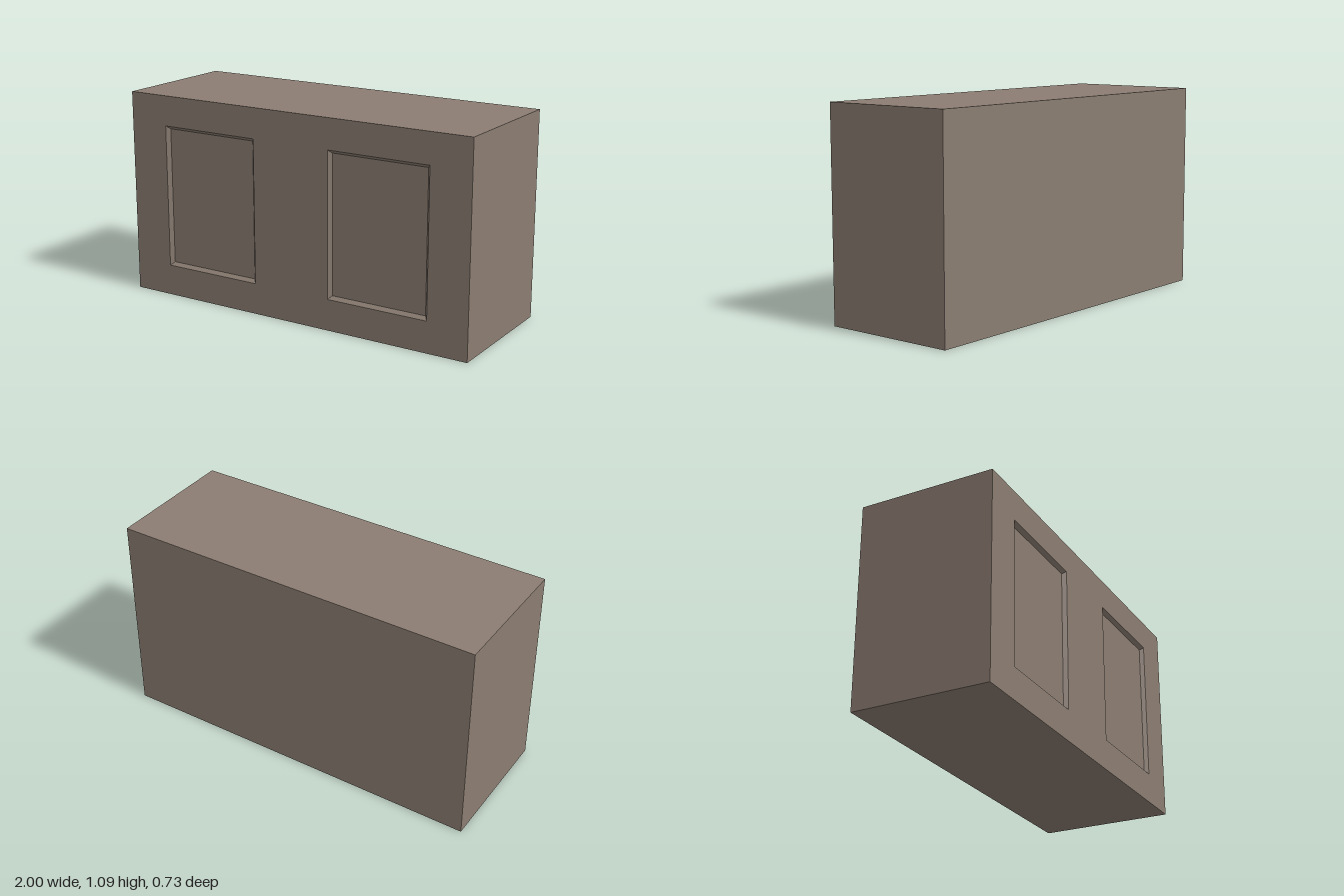
import * as THREE from 'three';

const W = 2, H = 1.09, D = 0.725;
const PANEL = { w: 0.56, y0: 0.165, y1: 0.93, inset: 0.017, depth: 0.02, x: 0.5 };

// Corners of a panel rectangle, counter-clockwise seen from the front
function corners(cx, inset, z) {
  const l = cx - PANEL.w / 2 + inset, r = cx + PANEL.w / 2 - inset;
  const b = PANEL.y0 + inset, t = PANEL.y1 - inset;
  return [[l, b, z], [r, b, z], [r, t, z], [l, t, z]];
}

// Shallow pocket: four sloping walls and a flat floor
function recessGeometry(cx) {
  const rim = corners(cx, 0, D / 2);
  const floor = corners(cx, PANEL.inset, D / 2 - PANEL.depth);
  const points = [];
  const quad = (a, b, c, d) => points.push(...a, ...b, ...c, ...a, ...c, ...d);
  for (let i = 0; i < 4; i++) {
    const j = (i + 1) % 4;
    quad(rim[i], rim[j], floor[j], floor[i]);
  }
  quad(...floor);
  const geometry = new THREE.BufferGeometry();
  geometry.setAttribute('position', new THREE.Float32BufferAttribute(points, 3));
  geometry.computeVertexNormals();
  return geometry;
}

export function createModel() {
  const group = new THREE.Group();
  group.name = 'panelledBlock';
  const material = new THREE.MeshStandardMaterial({ color: 0x8b7d72 });
  const add = (name, geometry) => {
    const mesh = new THREE.Mesh(geometry, material);
    mesh.name = name;
    group.add(mesh);
    return mesh;
  };

  // Block shell without its front face
  const shell = new THREE.BoxGeometry(W, H, D).translate(0, H / 2, 0);
  const index = Array.from(shell.index.array);
  index.splice(24, 6);
  shell.setIndex(index);
  shell.clearGroups();
  add('blockBody', shell);

  // Front face with an opening for each panel
  const front = new THREE.Shape([
    new THREE.Vector2(-W / 2, 0), new THREE.Vector2(W / 2, 0),
    new THREE.Vector2(W / 2, H), new THREE.Vector2(-W / 2, H),
  ]);
  for (const side of [-1, 1]) {
    const rim = corners(side * PANEL.x, 0, 0).map(([x, y]) => new THREE.Vector2(x, y));
    front.holes.push(new THREE.Path(rim.reverse()));
    add(side > 0 ? 'leftRecessedPanel' : 'rightRecessedPanel', recessGeometry(side * PANEL.x));
  }
  add('frontFace', new THREE.ShapeGeometry(front).translate(0, 0, D / 2));

  return group;
}
